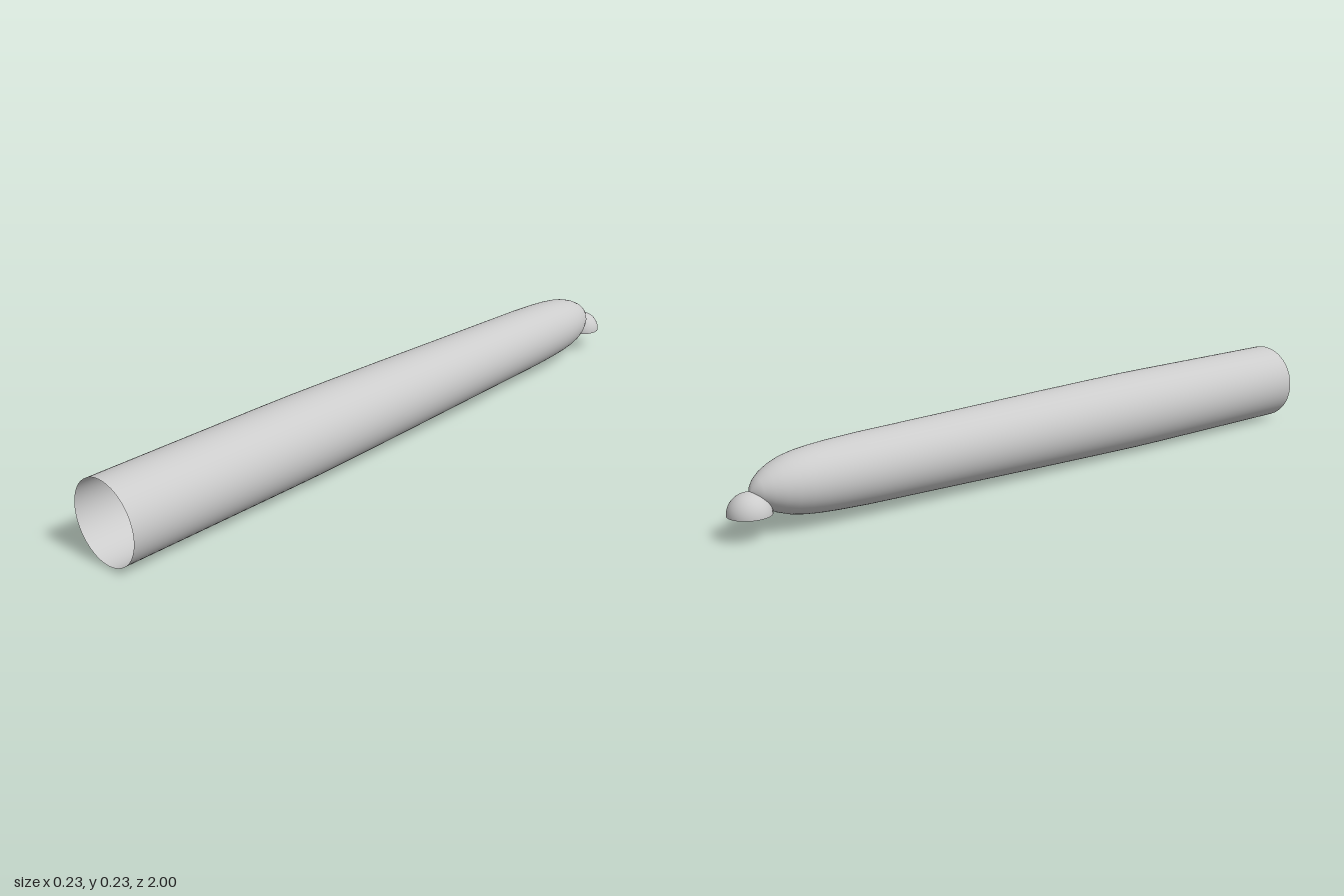
import * as THREE from 'three';

export function createModel() {
  const model = new THREE.Group();
  const material = new THREE.MeshStandardMaterial({ color: 0xcccccc, side: THREE.DoubleSide });
  const radius = 0.115;

  // Hollow barrel: straight at the open front, a slow taper, then a rounded nose
  const profile = [
    [0, -0.94], [0.018, -0.934], [0.034, -0.92], [0.05, -0.898], [0.063, -0.872],
    [0.074, -0.84], [0.081, -0.805], [0.086, -0.765], [0.09, -0.71], [0.094, -0.62],
    [0.101, -0.3], [0.108, 0], [0.112, 0.2], [0.1145, 0.35], [radius, 0.45], [radius, 1],
  ].map(([r, z]) => new THREE.Vector2(r, z));
  const barrel = new THREE.Mesh(new THREE.LatheGeometry(profile, 64).rotateX(Math.PI / 2), material);
  barrel.name = 'barrel';
  barrel.position.y = radius;
  model.add(barrel);

  // Open half dome at the tip, hollow side down
  const dome = new THREE.Mesh(
    new THREE.SphereGeometry(0.056, 48, 20, 0, Math.PI * 2, 0, Math.PI / 2), material);
  dome.name = 'tipDome';
  dome.position.set(0, 0.061, -0.944);
  model.add(dome);

  return model;
}
